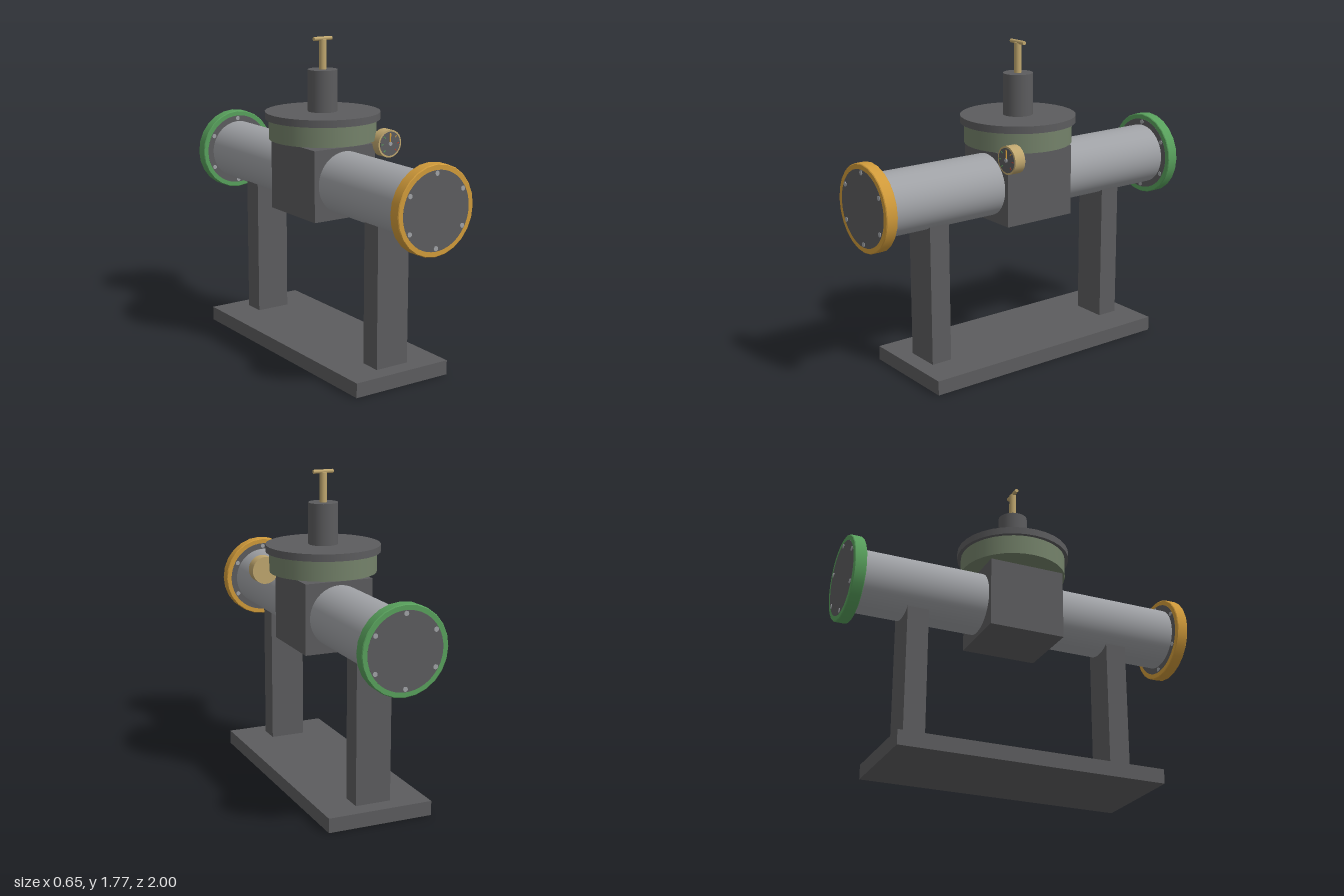
import * as THREE from 'three';

const mat = (name, color) => {
  const m = new THREE.MeshStandardMaterial({ color });
  m.name = name;
  return m;
};

export function createModel() {
  const iron = mat('dark iron', 0x5c5c5e);
  const steel = mat('pipe steel', 0x9fa1a5);
  const orange = mat('orange paint', 0xd09a3a);
  const green = mat('green paint', 0x58a05c);
  const olive = mat('olive paint', 0x74826a);
  const brass = mat('brass', 0xbfa66e);
  const red = mat('red mark', 0xb04030);

  const model = new THREE.Group();
  model.name = 'controlValve';
  const CX = -0.011, PIPE_Y = 0.997;

  const add = (parent, name, geo, material, x, y, z) => {
    const mesh = new THREE.Mesh(geo, material);
    mesh.name = name;
    mesh.position.set(x, y, z);
    parent.add(mesh);
    return mesh;
  };
  const box = (w, h, d) => new THREE.BoxGeometry(w, h, d);
  const cyl = (r, h, n = 32) => new THREE.CylinderGeometry(r, r, h, n);
  const cylZ = (r, h, n = 32) => cyl(r, h, n).rotateX(Math.PI / 2);
  // ring of rectangular section around the z axis
  const ringZ = (inner, outer, depth, n) => {
    const b = 0.004, d = depth / 2;
    const pts = [[inner, -d], [outer - b, -d], [outer, -d + b], [outer, d - b], [outer - b, d], [inner, d], [inner, -d]];
    const flat = [];
    // doubled points keep the section corners sharp
    pts.slice(0, -1).forEach((p, i) => flat.push(new THREE.Vector2(...p), new THREE.Vector2(...pts[i + 1])));
    const geo = new THREE.LatheGeometry(flat, n).rotateX(Math.PI / 2);
    return geo;
  };

  // stand
  add(model, 'basePlate', box(0.594, 0.08, 1.5), iron, CX, 0.04, 0);
  for (const s of [1, -1]) {
    add(model, s > 0 ? 'frontPost' : 'backPost', box(0.2, 0.78, 0.12), iron, CX, 0.47, s * 0.595);
  }

  // pipe and valve body
  add(model, 'pipe', cylZ(0.172, 1.9, 64), steel, CX, PIPE_Y, 0);
  add(model, 'valveBody', box(0.396, 0.393, 0.434), iron, CX, 0.9935, 0);

  // end flanges with six bolts each
  for (const s of [1, -1]) {
    const flange = new THREE.Group();
    flange.name = s > 0 ? 'frontFlange' : 'backFlange';
    flange.position.set(CX, PIPE_Y, s * 0.964);
    model.add(flange);
    add(flange, 'flangeRing', ringZ(0.2, 0.237, 0.066, 24), s > 0 ? orange : green, 0, 0, 0);
    add(flange, 'flangePlate', cylZ(0.207, 0.067, 48), iron, 0, 0, 0);
    for (let i = 0; i < 6; i++) {
      const a = Math.PI / 2 + i * Math.PI / 3;
      add(flange, 'bolt', cylZ(0.013, 0.073, 12), steel, 0.191 * Math.cos(a), 0.191 * Math.sin(a), 0);
    }
  }

  // actuator
  add(model, 'diaphragmHousing', cyl(0.297, 0.112), olive, CX, 1.265, 0);
  add(model, 'housingLid', cyl(0.318, 0.04), iron, CX, 1.34, 0);
  add(model, 'springTower', cyl(0.082, 0.23), iron, CX, 1.474, 0);
  add(model, 'stem', cyl(0.02, 0.165, 16), brass, CX, 1.67, 0);
  add(model, 'handleBar', cyl(0.011, 0.117, 16).rotateZ(Math.PI / 2), brass, CX, 1.756, 0);

  // pressure gauge
  const gauge = new THREE.Group();
  gauge.name = 'gauge';
  gauge.position.set(0.248, 1.191, 0.24);
  model.add(gauge);
  add(gauge, 'gaugeCase', cylZ(0.077, 0.064), brass, 0, 0, 0);
  add(gauge, 'dialFace', cylZ(0.067, 0.003), iron, 0, 0, 0.0325);
  for (let i = 0; i < 7; i++) {
    const a = Math.PI * (1.25 - i * 0.25);
    const tick = add(gauge, 'dialTick', box(0.014, 0.005, 0.004), i < 3 ? green : i < 5 ? orange : red,
      0.053 * Math.cos(a), 0.053 * Math.sin(a), 0.034);
    tick.rotation.z = a;
  }
  add(gauge, 'needle', box(0.008, 0.054, 0.004), orange, 0, 0.029, 0.036);
  add(gauge, 'needleHub', cylZ(0.011, 0.008, 16), steel, 0, 0, 0.036);

  return model;
}
